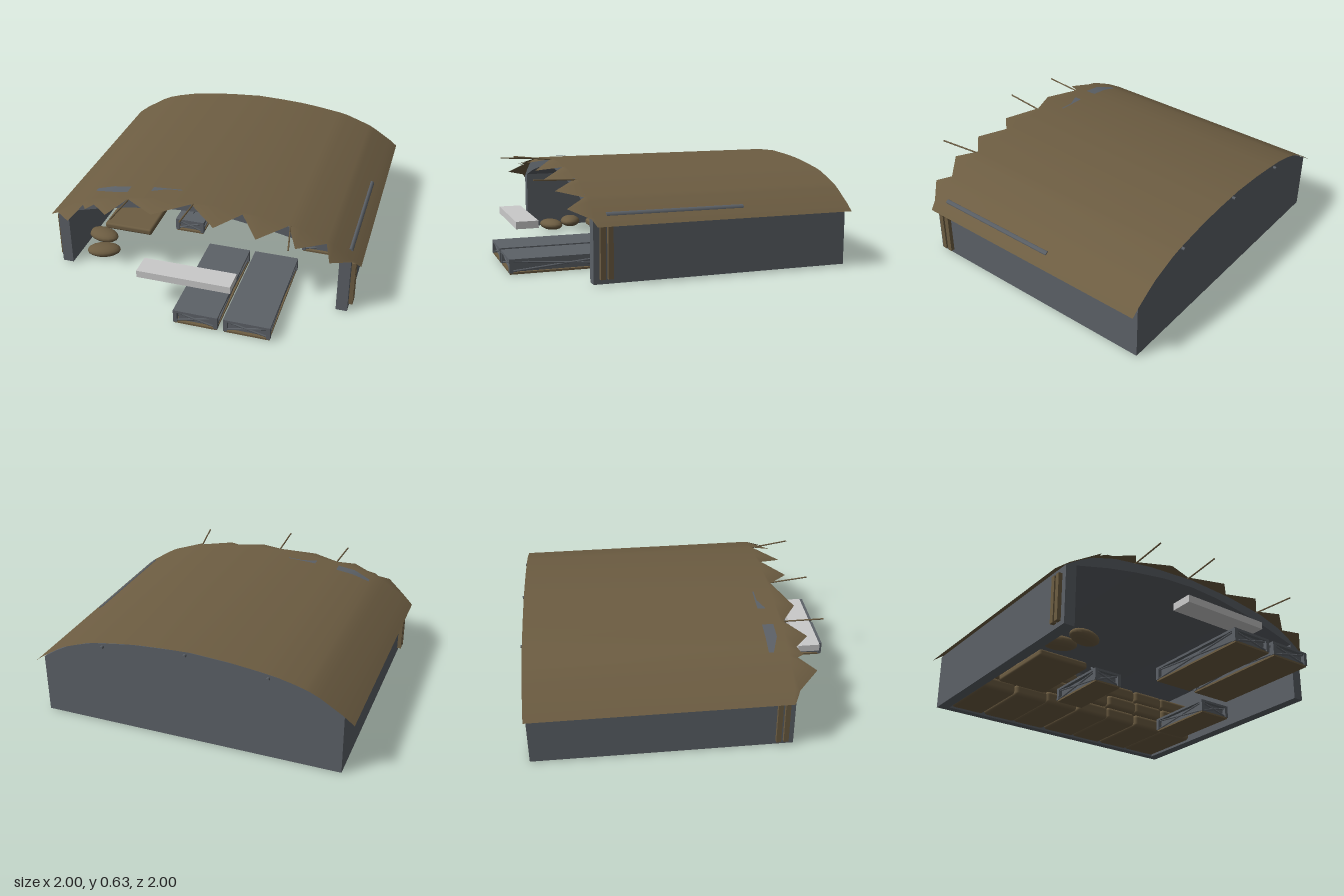
import * as THREE from 'three';
import { RoundedBoxGeometry } from 'three/addons/geometries/RoundedBoxGeometry.js';

const steel = new THREE.MeshStandardMaterial({ color: 0x5c6167 });
steel.name = 'grey steel';
const canvas = new THREE.MeshStandardMaterial({ color: 0x6d5d42, side: THREE.DoubleSide });
canvas.name = 'brown canvas';
const pale = new THREE.MeshStandardMaterial({ color: 0xcacaca });
pale.name = 'pale grey';

// Half of the roof arch, from the ridge outwards, and of the lower ceiling arch
const ROOF = [[0, 0.61], [0.33, 0.59], [0.6, 0.55], [0.76, 0.5], [0.86, 0.445], [0.95, 0.385], [1, 0.345]];
const CEILING = [[0.87, 0.4], [0.65, 0.46], [0.45, 0.502], [0.22, 0.538], [0, 0.55]];

function roofY(x) {
  const a = Math.min(Math.abs(x), 1);
  let i = 1;
  while (i < ROOF.length - 1 && ROOF[i][0] < a) i++;
  const [x0, y0] = ROOF[i - 1], [x1, y1] = ROOF[i];
  return y0 + (y1 - y0) * (a - x0) / (x1 - x0);
}

function add(parent, name, geometry, material, x = 0, y = 0, z = 0) {
  const mesh = new THREE.Mesh(geometry, material);
  mesh.name = name;
  mesh.position.set(x, y, z);
  parent.add(mesh);
  return mesh;
}

// Box given by its lower and upper corners
function box(parent, name, material, a, b) {
  const s = b.map((v, i) => v - a[i]);
  return add(parent, name, new THREE.BoxGeometry(...s), material, ...a.map((v, i) => v + s[i] / 2));
}

function rod(parent, name, material, a, b, radius = 0.005) {
  const p = new THREE.Vector3(...a), q = new THREE.Vector3(...b);
  const mesh = add(parent, name, new THREE.CylinderGeometry(radius, radius, p.distanceTo(q), 6), material);
  mesh.position.copy(p).add(q).multiplyScalar(0.5);
  mesh.quaternion.setFromUnitVectors(new THREE.Vector3(0, 1, 0), q.sub(p).normalize());
  return mesh;
}

function grid(cols, rows, point) {
  const pos = [], idx = [];
  for (let i = 0; i < cols; i++) for (let j = 0; j < rows; j++) pos.push(...point(i, j));
  for (let i = 0; i < cols - 1; i++) for (let j = 0; j < rows - 1; j++) {
    const a = i * rows + j, b = a + rows;
    idx.push(a, a + 1, b, b, a + 1, b + 1);
  }
  const g = new THREE.BufferGeometry();
  g.setAttribute('position', new THREE.Float32BufferAttribute(pos, 3));
  g.setIndex(idx);
  g.computeVertexNormals();
  return g;
}

function buildShell(root) {
  // Arched walls and ceiling as one section, then the back wall
  const outer = [[0.94, 0.01]];
  for (const x of [0.94, 0.86, 0.76, 0.6, 0.33, 0, -0.33, -0.6, -0.76, -0.86, -0.94]) outer.push([x, roofY(x) - 0.008]);
  outer.push([-0.94, 0.01]);
  const inner = [[-0.87, 0.01], ...CEILING.map(([x, y]) => [-x, y]),
    ...CEILING.slice(0, -1).reverse(), [0.87, 0.01]];
  const shape = (pts) => new THREE.Shape(pts.map((p) => new THREE.Vector2(...p)));
  const extrude = (pts, depth) => new THREE.ExtrudeGeometry(shape(pts), { depth, bevelEnabled: false });
  add(root, 'wallsAndCeiling', extrude([...outer, ...inner], 1.53), steel, 0, 0, -0.93);
  add(root, 'backWall', extrude(outer, 0.05), steel, 0, 0, -0.98);

  // Brown posts on the outer walls near the entrance
  for (const s of [-1, 1]) for (const z of [0.505, 0.55]) {
    add(root, 'outerPost', new THREE.BoxGeometry(0.025, 0.3, 0.03), canvas, s * 0.953, 0.19, z);
  }
}

function buildRoof(root) {
  // Torn front edge as x, z pairs
  const edge = [[-1, 0.58], [-0.93, 0.62], [-0.8, 0.75], [-0.74, 0.64], [-0.71, 0.68], [-0.66, 0.65], [-0.55, 0.74],
    [-0.45, 0.61], [-0.26, 0.72], [-0.04, 0.61], [0.14, 0.75], [0.28, 0.61], [0.4, 0.76], [0.56, 0.6],
    [0.63, 0.74], [0.79, 0.61], [0.83, 0.72], [0.95, 0.61], [1, 0.59]];
  const cover = grid(edge.length, 3, (i, j) => {
    const [x, z] = edge[i];
    const zz = [-0.99, Math.min(z, 0.6) - 0.01, z][j];
    return [x, roofY(x) - Math.max(0, zz - 0.6) * 0.3, zz];
  });
  add(root, 'roofCover', cover, canvas);

  // Worn openings showing the grey layer
  const tears = [[-0.71, -0.48, 0.47, 0.5, 0.54], [-0.33, -0.14, 0.47, 0.52, 0.48]];
  for (const [x0, x1, zb, zl, zr] of tears) {
    const g = grid(5, 2, (i, j) => {
      const x = x0 + (x1 - x0) * i / 4;
      return [x, roofY(x) + 0.006, j ? zl + (zr - zl) * Math.min(1, i / 2) : zb];
    });
    add(root, 'roofTear', g, steel);
  }

  // Long grey pipe on the eave, rods at the front and stubs at the back
  const pipe = rod(root, 'eavePipe', steel, [0.92, 0.395, -0.31], [0.92, 0.395, 0.52], 0.02);
  pipe.scale.set(0.9, 1, 0.9);
  rod(root, 'frontRod', canvas, [-0.445, 0.565, 0.58], [-0.46, 0.575, 0.86]);
  rod(root, 'frontRod', canvas, [-0.03, 0.6, 0.58], [-0.03, 0.63, 0.85]);
  rod(root, 'frontRod', canvas, [0.565, 0.55, 0.58], [0.615, 0.565, 0.86]);
  for (const x of [-0.5, 0, 0.53]) {
    rod(root, 'backStub', steel, [x, roofY(x) - 0.03, -0.96], [x, roofY(x) - 0.03, -1], 0.01);
  }
}

function buildCrate(root, x0, x1, z0, z1) {
  const crate = new THREE.Group();
  crate.name = 'crate';
  root.add(crate);
  const t = 0.012;
  box(crate, 'crateLid', steel, [x0, 0.085, z0], [x1, 0.1, z1]);
  box(crate, 'crateCore', steel, [x0 + 0.025, 0.02, z0 + 0.025], [x1 - 0.025, 0.085, z1 - 0.025]);
  box(crate, 'crateBase', canvas, [x0 + 0.005, 0.008, z0 + 0.005], [x1 - 0.005, 0.02, z1 - 0.005]);
  // Corner posts and crossed braces
  for (const x of [x0 + t, x1 - t]) for (const z of [z0 + t, z1 - t]) {
    add(crate, 'cratePost', new THREE.BoxGeometry(2 * t, 0.07, 2 * t), steel, x, 0.052, z);
  }
  for (const z of [z0 + t, z1 - t]) {
    rod(crate, 'crateBrace', steel, [x0 + t, 0.025, z], [x1 - t, 0.085, z], 0.006);
    rod(crate, 'crateBrace', steel, [x1 - t, 0.025, z], [x0 + t, 0.085, z], 0.006);
  }
  for (const x of [x0 + t, x1 - t]) {
    rod(crate, 'crateBrace', steel, [x, 0.025, z0 + t], [x, 0.085, z1 - t], 0.006);
    rod(crate, 'crateBrace', steel, [x, 0.025, z1 - t], [x, 0.085, z0 + t], 0.006);
  }
}

function buildCargo(root) {
  buildCrate(root, -0.035, 0.24, 0.27, 1);
  buildCrate(root, 0.275, 0.56, 0.27, 1);
  buildCrate(root, 0.54, 0.78, -0.45, 0.05);
  buildCrate(root, -0.35, -0.15, -0.4, 0.05);

  // Leaning frame on the small crate
  for (const x of [-0.26, -0.19]) rod(root, 'leaningFrame', steel, [x, 0.1, -0.05], [x + 0.05, 0.22, -0.2], 0.008);
  for (const k of [0.35, 0.85]) {
    rod(root, 'frameRung', steel, [-0.26 + 0.05 * k, 0.1 + 0.12 * k, -0.05 - 0.15 * k],
      [-0.19 + 0.05 * k, 0.1 + 0.12 * k, -0.05 - 0.15 * k], 0.008);
  }

  // Stacked sacks along the back wall
  const xs = [-0.87, -0.635, -0.395, -0.15, 0.1, 0.34, 0.58, 0.85];
  for (let i = 0; i < 7; i++) {
    const top = i < 2 ? 0.248 : 0.278, w = xs[i + 1] - xs[i], h = (top - 0.005) / 3;
    for (let k = 0; k < 3; k++) {
      const g = new RoundedBoxGeometry(w, h, 0.46, 3, 0.025);
      add(root, 'stackedSack', g, canvas, (xs[i] + xs[i + 1]) / 2 + 0.006 * ((i + k) % 2), 0.006 + h * (k + 0.5), -0.68 + 0.01 * (k % 2));
    }
  }

  // Low bale and loose sacks by the entrance
  add(root, 'lowBale', new RoundedBoxGeometry(0.34, 0.045, 0.5, 2, 0.015), canvas, -0.66, 0.03, -0.08);
  for (const [x, y, z, turn] of [[-0.71, 0.045, 0.46, 0.3], [-0.78, 0.05, 0.3, -0.25]]) {
    const sack = add(root, 'looseSack', new THREE.SphereGeometry(1, 16, 10), canvas, x, y, z);
    sack.scale.set(0.11, 0.038, 0.07);
    sack.rotation.y = turn;
  }
}

export function createModel() {
  const root = new THREE.Group();
  root.name = 'archedShelter';
  buildShell(root);
  buildRoof(root);
  buildCargo(root);
  // Pale bar floating before the entrance
  box(root, 'paleBar', pale, [-0.295, 0.222, 0.765], [0.29, 0.268, 0.905]);
  return root;
}
